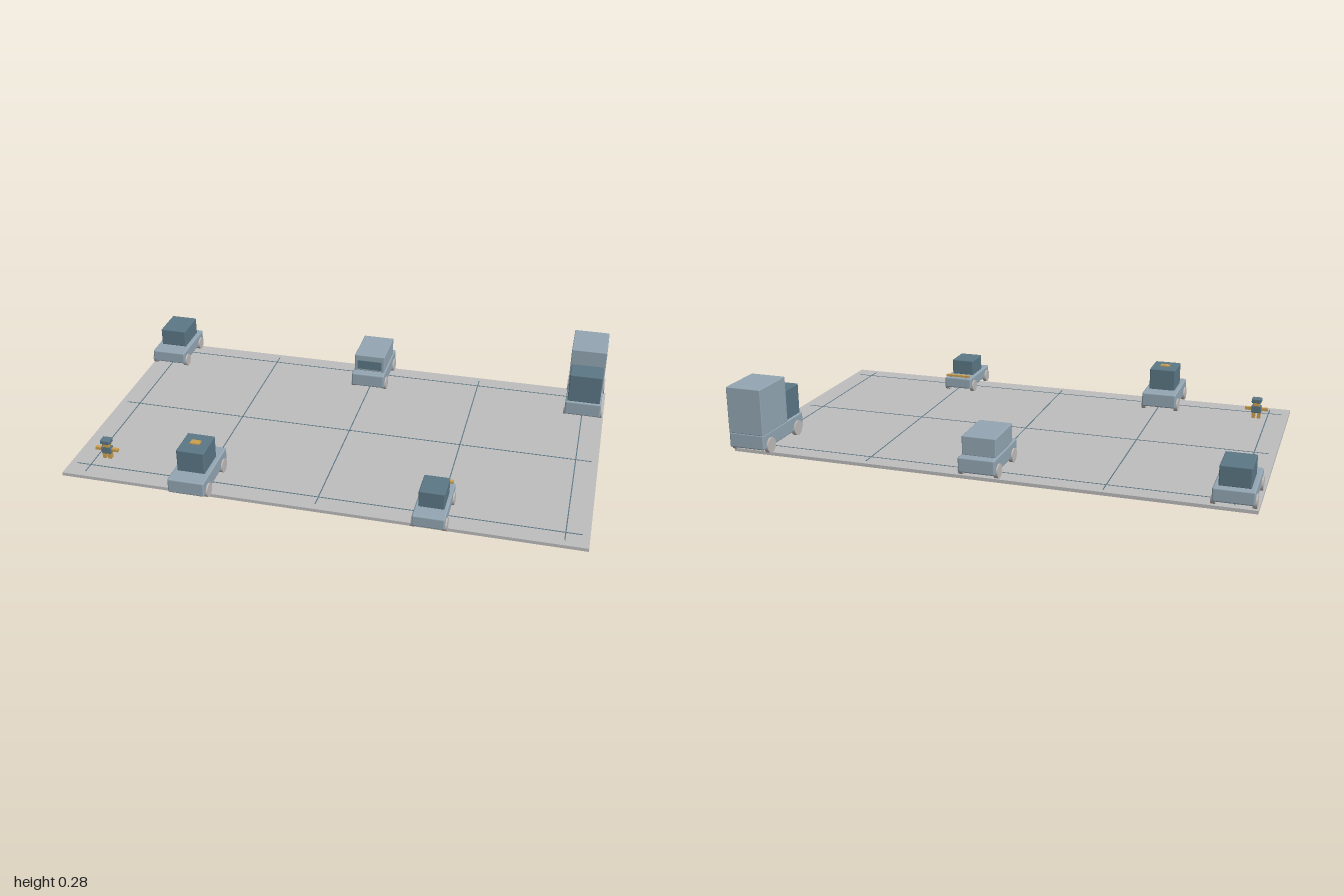
import * as THREE from 'three';
import { RoundedBoxGeometry } from 'three/addons/geometries/RoundedBoxGeometry.js';

const flat = (name, color) => Object.assign(new THREE.MeshStandardMaterial({ color }), { name });

export function createModel() {
  const model = new THREE.Group();
  model.name = 'parkingLot';
  const ground = flat('groundGrey', 0xbdbdbd);
  const light = flat('lightBlueGrey', 0x93a6b3);
  const dark = flat('darkBlueGrey', 0x5b7785);
  const wheelGrey = flat('wheelGrey', 0xbfbab8);
  const amber = flat('amber', 0xcaa052);

  // Box given by its min and max on each axis; r > 0 rounds the edges
  function box(parent, name, mat, [x0, x1], [y0, y1], [z0, z1], r = 0) {
    const size = [x1 - x0, y1 - y0, z1 - z0];
    const geo = r ? new RoundedBoxGeometry(...size, 2, r) : new THREE.BoxGeometry(...size);
    const mesh = new THREE.Mesh(geo, mat);
    mesh.name = name;
    mesh.position.set((x0 + x1) / 2, (y0 + y1) / 2, (z0 + z1) / 2);
    parent.add(mesh);
    return mesh;
  }

  // Slab and thin marking lines
  const top = 0.013;
  box(model, 'slab', ground, [-1, 1], [0, top], [-0.565, 0.56]);
  for (const x of [-0.917, -0.458, 0, 0.455, 0.913]) {
    box(model, 'crossLine', dark, [x - 0.002, x + 0.002], [top - 0.001, top + 0.001], [-0.54, 0.53]);
  }
  for (const z of [-0.495, -0.003, 0.483]) {
    box(model, 'longLine', dark, [-0.973, 0.973], [top - 0.001, top + 0.001], [z - 0.002, z + 0.002]);
  }

  // Chassis with four wheels; half = body half width
  function vehicle(name, x, half, bodyY, bodyZ, wheelR, wheelZ) {
    const g = new THREE.Group();
    g.name = name;
    g.position.x = x;
    model.add(g);
    box(g, 'body', light, [-half, half], bodyY, bodyZ, 0.006);
    for (const side of [-1, 1]) for (const z of wheelZ) {
      const wheel = new THREE.Mesh(new THREE.CylinderGeometry(wheelR, wheelR, 0.016, 24), wheelGrey);
      wheel.name = 'wheel';
      wheel.rotation.z = Math.PI / 2;
      wheel.position.set(side * (half - 0.002), top + wheelR, z);
      g.add(wheel);
    }
    return g;
  }

  // Back row: saloon, van and truck
  const saloon = vehicle('saloon', -0.916, 0.073, [0.034, 0.085], [-0.584, -0.342], 0.026, [-0.545, -0.377]);
  box(saloon, 'cabin', dark, [-0.056, 0.056], [0.083, 0.158], [-0.556, -0.412], 0.004);

  const van = vehicle('van', -0.002, 0.07, [0.034, 0.092], [-0.594, -0.337], 0.027, [-0.55, -0.38]);
  box(van, 'cabin', light, [-0.065, 0.065], [0.09, 0.164], [-0.562, -0.374], 0.004);
  box(van, 'windscreen', dark, [-0.053, 0.053], [0.1, 0.139], [-0.376, -0.371]);

  const truck = vehicle('truck', 0.914, 0.073, [0.035, 0.095], [-0.615, -0.308], 0.03, [-0.566, -0.357]);
  box(truck, 'cab', dark, [-0.066, 0.066], [0.093, 0.215], [-0.416, -0.317], 0.004);
  box(truck, 'cargoBox', light, [-0.072, 0.072], [0.093, 0.275], [-0.615, -0.426], 0.003);

  // Front row: taxi with roof sign, small sports car with rear wing
  const taxi = vehicle('taxi', -0.471, 0.071, [0.035, 0.094], [0.358, 0.617], 0.027, [0.403, 0.572]);
  box(taxi, 'cabin', dark, [-0.054, 0.054], [0.09, 0.182], [0.424, 0.552], 0.004);
  box(taxi, 'roofSign', amber, [-0.019, 0.019], [0.181, 0.187], [0.472, 0.498]);

  const sportsCar = vehicle('sportsCar', 0.435, 0.06, [0.033, 0.079], [0.364, 0.604], 0.025, [0.405, 0.57]);
  box(sportsCar, 'cabin', dark, [-0.048, 0.048], [0.077, 0.143], [0.43, 0.542], 0.004);
  box(sportsCar, 'rearWing', amber, [-0.053, 0.053], [0.084, 0.092], [0.365, 0.38]);
  for (const s of [-1, 1]) {
    box(sportsCar, 'wingPost', light, [s * 0.035 - 0.003, s * 0.035 + 0.003], [0.077, 0.085], [0.369, 0.376]);
  }

  // Standing attendant with arms held out
  const person = new THREE.Group();
  person.name = 'attendant';
  person.position.set(-0.873, 0, 0.417);
  model.add(person);
  for (const s of [-1, 1]) {
    box(person, 'leg', amber, [s * 0.011 - 0.007, s * 0.011 + 0.007], [top, 0.038], [-0.009, 0.009]);
    box(person, 'arm', amber, [s * 0.033 - 0.014, s * 0.033 + 0.014], [0.046, 0.058], [-0.007, 0.007]);
  }
  box(person, 'torso', dark, [-0.02, 0.02], [0.036, 0.066], [-0.012, 0.012], 0.003);
  box(person, 'head', amber, [-0.014, 0.014], [0.065, 0.082], [-0.014, 0.014], 0.003);
  box(person, 'cap', dark, [-0.02, 0.02], [0.08, 0.098], [-0.018, 0.018], 0.004);

  return model;
}
